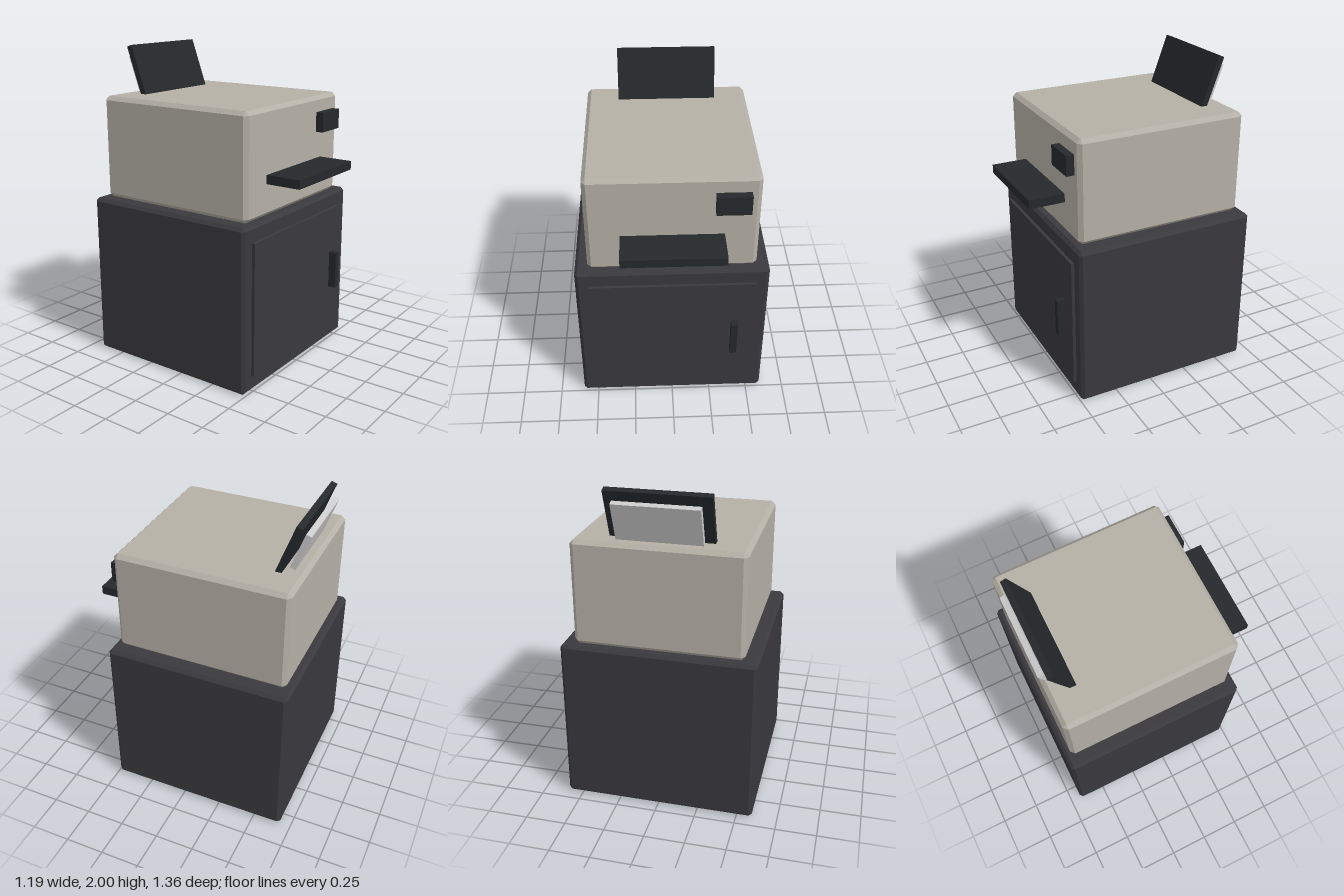
import * as THREE from 'three';

const material = (color, side = THREE.FrontSide) =>
  new THREE.MeshStandardMaterial({ color, side, flatShading: true });

// Box with every edge chamfered by c, given by its min/max corners; the base can be left open.
function chamferedBox([x0, y0, z0], [x1, y1, z1], c, openBase = false) {
  const ring = (y, inset, cut) => {
    const a = x0 + inset, b = x1 - inset, d = z0 + inset, e = z1 - inset;
    return [
      [a + cut, y, e], [b - cut, y, e], [b, y, e - cut], [b, y, d + cut],
      [b - cut, y, d], [a + cut, y, d], [a, y, d + cut], [a, y, e - cut],
    ];
  };
  const rings = [ring(y0, c, 0), ring(y0 + c, 0, c), ring(y1 - c, 0, c), ring(y1, c, 0)];
  const positions = [];
  const same = (p, q) => p.every((v, i) => Math.abs(v - q[i]) < 1e-6);
  const tri = (p, q, r) => {
    if (!same(p, q) && !same(q, r) && !same(r, p)) positions.push(...p, ...q, ...r);
  };
  for (let k = 0; k < 3; k++) {
    for (let i = 0; i < 8; i++) {
      const j = (i + 1) % 8, lo = rings[k], hi = rings[k + 1];
      tri(lo[i], lo[j], hi[j]);
      tri(lo[i], hi[j], hi[i]);
    }
  }
  // End caps: each end ring collapses to four corners
  const [t0, t1, , t2, , t3] = rings[3];
  tri(t0, t1, t2);
  tri(t0, t2, t3);
  if (!openBase) {
    const [b0, b1, , b2, , b3] = rings[0];
    tri(b0, b2, b1);
    tri(b0, b3, b2);
  }
  const geometry = new THREE.BufferGeometry();
  geometry.setAttribute('position', new THREE.Float32BufferAttribute(positions, 3));
  geometry.computeVertexNormals();
  return geometry;
}

export function createModel() {
  const model = new THREE.Group();
  model.name = 'printerOnCabinet';

  const charcoal = material(0x39393e, THREE.DoubleSide);
  const beige = material(0xb5b0a6);
  const black = material(0x25292c);
  const paper = material(0xcccccc);

  const add = (name, geometry, mat) => {
    const mesh = new THREE.Mesh(geometry, mat);
    mesh.name = name;
    model.add(mesh);
    return mesh;
  };
  // Plain box from its min/max corners
  const box = (name, min, max, mat) => {
    const size = max.map((v, i) => v - min[i]);
    const mesh = add(name, new THREE.BoxGeometry(...size), mat);
    mesh.position.set(...max.map((v, i) => (v + min[i]) / 2));
    return mesh;
  };
  // Plate leaning backwards
  const leaningPlate = (name, size, y, z, mat) => {
    const mesh = add(name, new THREE.BoxGeometry(...size), mat);
    mesh.position.set(0, y, z);
    mesh.rotation.x = THREE.MathUtils.degToRad(-20);
  };

  // Cabinet, hollow and open underneath, with its door set into the front wall
  add('cabinet', chamferedBox([-0.595, 0, -0.68], [0.595, 1.045, 0.495], 0.02, true), charcoal);
  box('cabinetDoor', [-0.515, 0.105, 0.475], [0.515, 0.945, 0.515], charcoal);
  box('doorHandle', [0.37, 0.4, 0.51], [0.41, 0.645, 0.565], black);

  // Printer body with its front fittings
  add('printerBody', chamferedBox([-0.515, 1.045, -0.64], [0.515, 1.695, 0.455], 0.025), beige);
  box('controlPanel', [0.25, 1.47, 0.43], [0.455, 1.595, 0.505], black);
  box('outputTray', [-0.31, 1.245, 0.43], [0.31, 1.3, 0.68], black);

  // Paper feed at the back
  leaningPlate('paperSupport', [0.62, 0.4, 0.038], 1.805, -0.53, black);
  leaningPlate('paperStack', [0.51, 0.24, 0.035], 1.815, -0.595, paper);

  return model;
}
